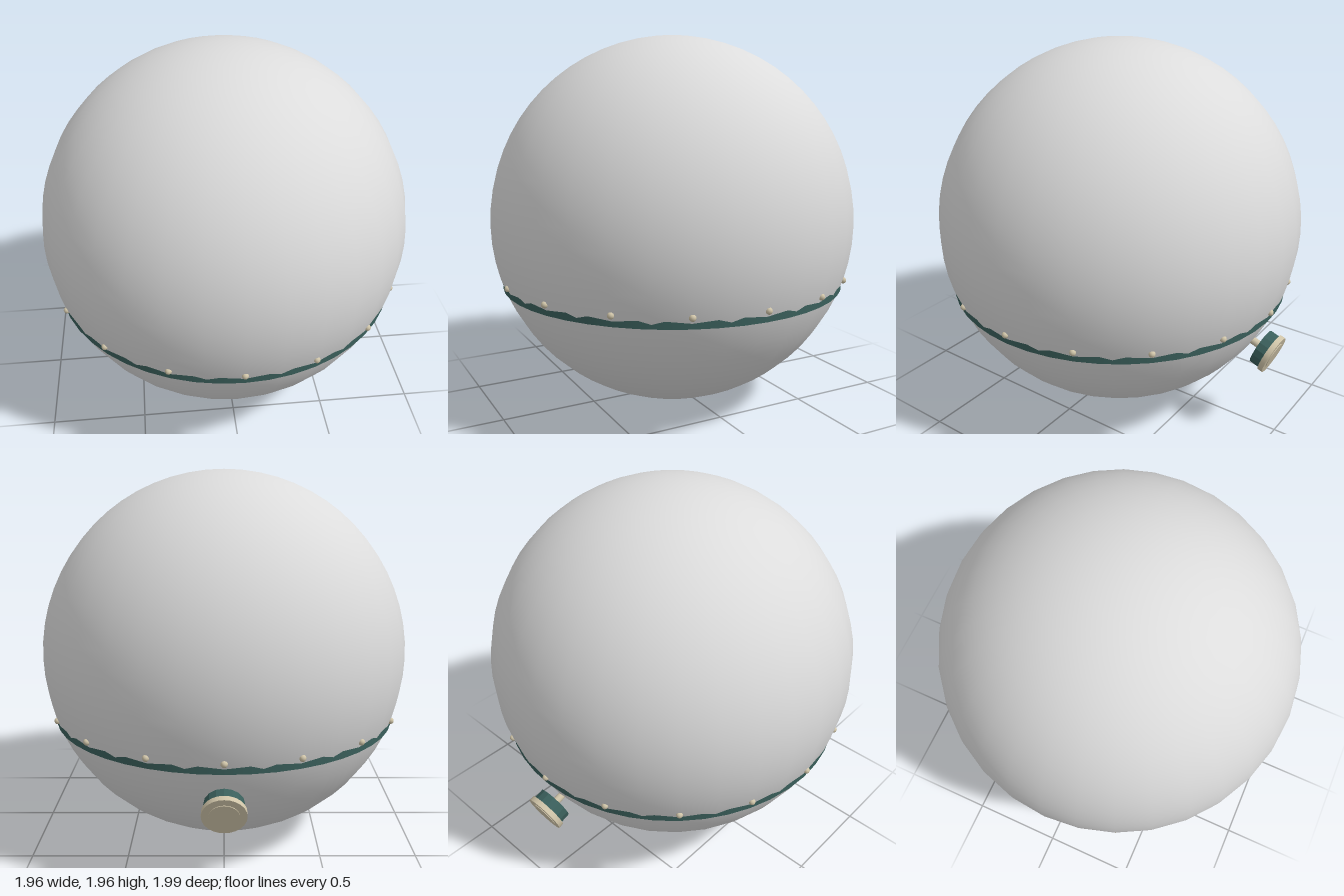
import * as THREE from 'three';

const mat = (name, color) => Object.assign(new THREE.MeshStandardMaterial({ color }), { name });

export function createModel() {
  const shell = mat('pale grey shell', 0xdcdcdc);
  const green = mat('dark green metal', 0x3a5f5b);
  const cream = mat('cream metal', 0xcfc4a8);

  const model = new THREE.Group();
  model.name = 'sphericalVessel';
  const R = 0.98, CZ = 0.016;

  const add = (parent, name, geometry, material, x = 0, y = 0, z = 0) => {
    const mesh = new THREE.Mesh(geometry, material);
    mesh.name = name;
    mesh.position.set(x, y, z);
    parent.add(mesh);
    return mesh;
  };

  // Large smooth ball
  add(model, 'ball', new THREE.SphereGeometry(R, 32, 32), shell, 0, R, CZ);

  // Thin collar that disappears into the ball along its upper edge
  add(model, 'collar', new THREE.CylinderGeometry(0.925, 0.925, 0.06, 48), green, 0, 0.663, CZ);

  // Ring of rivets just above the collar
  const rivetGeometry = new THREE.SphereGeometry(0.017, 10, 8);
  for (let i = 0; i < 16; i++) {
    const a = (i / 16) * Math.PI * 2;
    add(model, 'rivet', rivetGeometry, cream, Math.sin(a) * 0.937, 0.69, Math.cos(a) * 0.937 + CZ);
  }

  // Knob at the back; its own +y axis points outward, 20 degrees below level
  const knob = new THREE.Group();
  knob.name = 'knob';
  knob.position.set(0, 0.479, -0.885);
  knob.rotation.x = -Math.PI / 2 - THREE.MathUtils.degToRad(20);
  model.add(knob);
  add(knob, 'knobStem', new THREE.CylinderGeometry(0.02, 0.02, 0.12, 12), cream, 0, -0.055, 0);
  const grip = new THREE.CylinderGeometry(0.096, 0.096, 0.06, 16).toNonIndexed();
  grip.computeVertexNormals();
  add(knob, 'knobGrip', grip, green, 0, 0.028, 0);
  add(knob, 'knobCap', new THREE.CylinderGeometry(0.106, 0.106, 0.027, 24), cream, 0, 0.066, 0);
  add(knob, 'knobCapInset', new THREE.CylinderGeometry(0.072, 0.072, 0.004, 24), cream, 0, 0.081, 0);

  return model;
}
